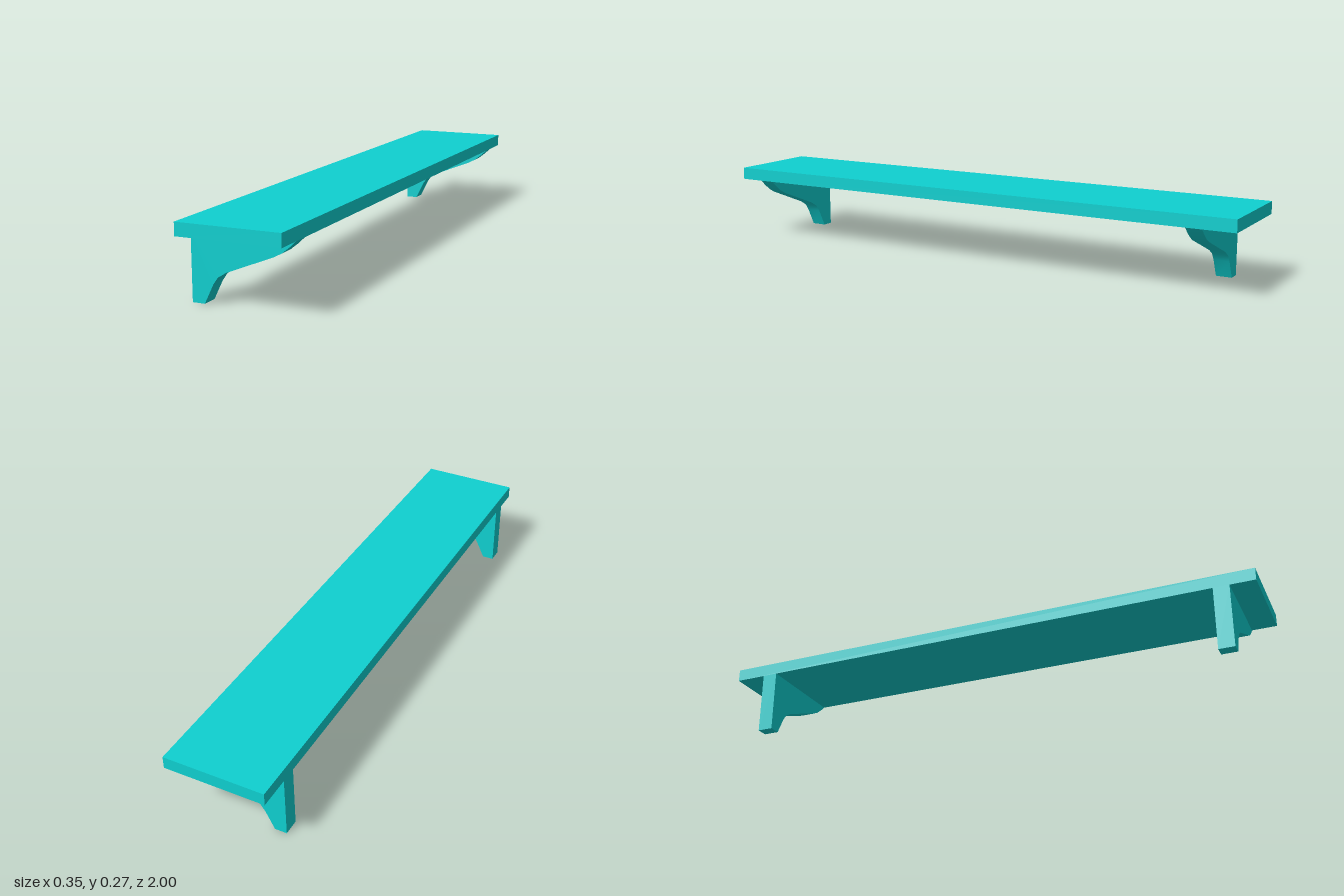
import * as THREE from 'three';
import { toCreasedNormals } from 'three/addons/utils/BufferGeometryUtils.js';

const DEPTH = 0.355, BOARD_BOTTOM = 0.225, BOARD_TOP = 0.269, BRACKET_WIDTH = 0.056;

// Side profile of a bracket: upright back edge, swept underside, flat top
function bracketGeometry() {
  const back = -DEPTH / 2;
  const profile = [
    [back, 0], [-0.135, 0], [-0.104, 0.063], [-0.087, 0.087], [-0.058, 0.105],
    [0.104, 0.17], [0.13, 0.184], [0.155, 0.204], [-back, BOARD_BOTTOM], [back, BOARD_BOTTOM],
  ].map(([x, y]) => new THREE.Vector2(x, y));
  const geometry = new THREE.ExtrudeGeometry(new THREE.Shape(profile), {
    depth: BRACKET_WIDTH, bevelEnabled: false,
  });
  geometry.translate(0, 0, -BRACKET_WIDTH / 2);
  return toCreasedNormals(geometry, 0.6);
}

export function createModel() {
  const group = new THREE.Group();
  group.name = 'wallShelf';
  const material = new THREE.MeshStandardMaterial({ color: 0x0fd0d0 });

  // Long flat board
  const board = new THREE.Mesh(
    new THREE.BoxGeometry(DEPTH, BOARD_TOP - BOARD_BOTTOM, 2), material);
  board.name = 'shelfBoard';
  board.position.y = (BOARD_TOP + BOARD_BOTTOM) / 2;
  group.add(board);

  // Two supporting brackets, slightly offset along the board
  const geometry = bracketGeometry();
  for (const [name, z] of [['frontBracket', 0.884], ['backBracket', -0.859]]) {
    const bracket = new THREE.Mesh(geometry, material);
    bracket.name = name;
    bracket.position.z = z;
    group.add(bracket);
  }
  return group;
}
